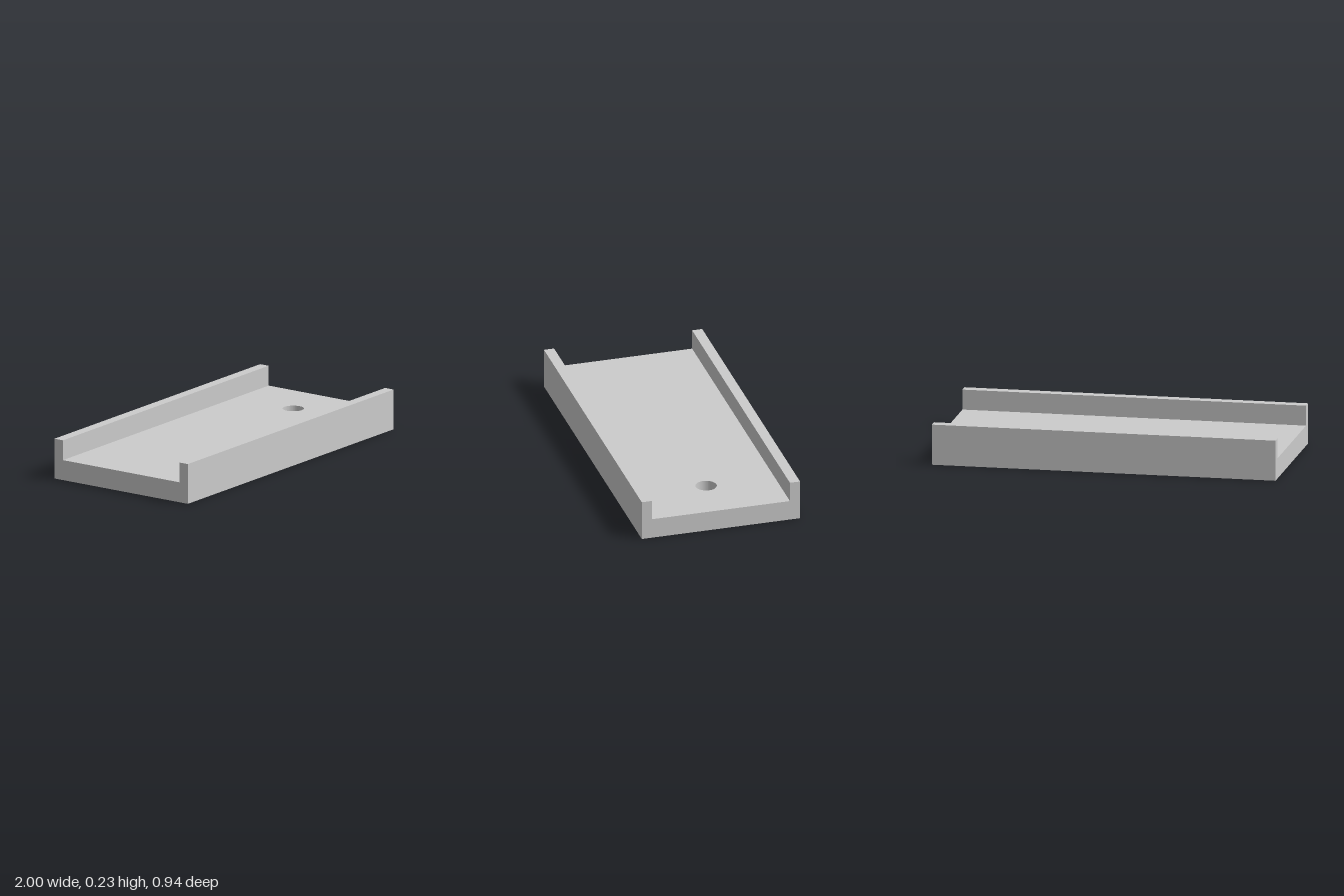
import * as THREE from 'three';

const LENGTH = 2, HALF_WIDTH = 0.47, RAIL = 0.06, HEIGHT = 0.235, BED = 0.118;
const HOLE = { x: 0.68, z: -0.005, radius: 0.061, depth: 0.09 };

export function createModel() {
  const group = new THREE.Group();
  const material = new THREE.MeshStandardMaterial({ color: 0xcccccc });
  const add = (name, geometry, x, y, z) => {
    const mesh = new THREE.Mesh(geometry, material);
    mesh.name = name;
    mesh.position.set(x, y, z);
    group.add(mesh);
    return mesh;
  };
  const bedHalf = HALF_WIDTH - RAIL;

  // Solid lower layer of the bed, closing the blind hole
  const baseHeight = BED - HOLE.depth;
  add('base', new THREE.BoxGeometry(LENGTH, baseHeight, bedHalf * 2), 0, baseHeight / 2, 0);

  // Upper layer of the bed with the round hole (shape y becomes -z)
  const shape = new THREE.Shape([
    new THREE.Vector2(-LENGTH / 2, -bedHalf),
    new THREE.Vector2(LENGTH / 2, -bedHalf),
    new THREE.Vector2(LENGTH / 2, bedHalf),
    new THREE.Vector2(-LENGTH / 2, bedHalf),
  ]);
  shape.holes.push(new THREE.Path().absarc(HOLE.x, -HOLE.z, HOLE.radius, 0, Math.PI * 2, true));
  const bed = new THREE.ExtrudeGeometry(shape, { depth: HOLE.depth, bevelEnabled: false, curveSegments: 48 });
  bed.rotateX(-Math.PI / 2);
  add('drilledBed', bed, 0, baseHeight, 0);

  // Raised side rails along both long edges
  for (const [name, side] of [['frontRail', 1], ['backRail', -1]]) {
    add(name, new THREE.BoxGeometry(LENGTH, HEIGHT, RAIL), 0, HEIGHT / 2, side * (HALF_WIDTH - RAIL / 2));
  }
  return group;
}
